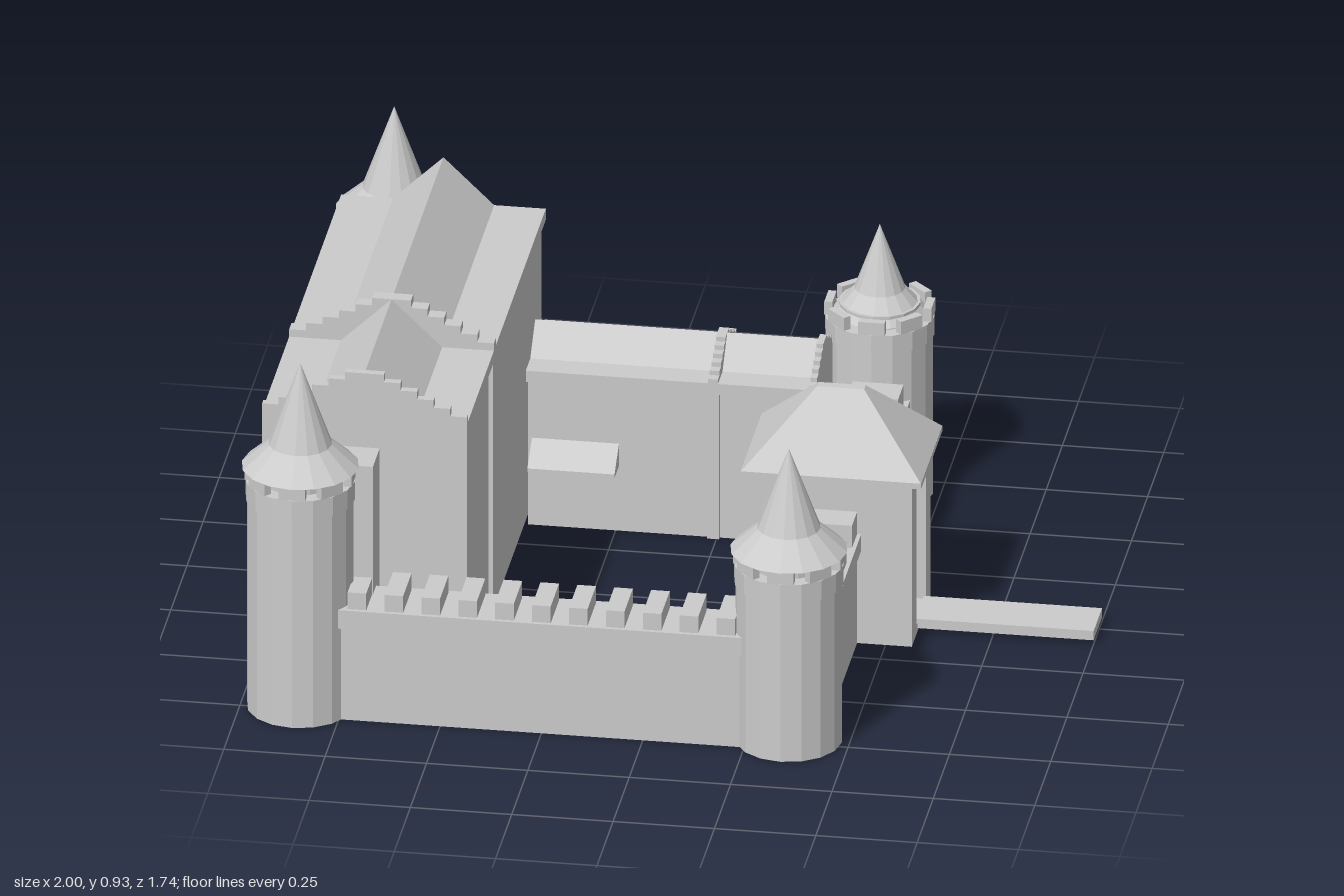
import * as THREE from 'three';
import { ConvexGeometry } from 'three/addons/geometries/ConvexGeometry.js';

const stone = new THREE.MeshStandardMaterial({ color: 0xcccccc, flatShading: true, side: THREE.DoubleSide });

function add(parent, name, geometry, x = 0, y = 0, z = 0) {
  const mesh = new THREE.Mesh(geometry, stone);
  mesh.name = name;
  mesh.position.set(x, y, z);
  parent.add(mesh);
  return mesh;
}

// Box given by its limits on each axis
function block(parent, name, [x0, x1], [y0, y1], [z0, z1]) {
  return add(parent, name, new THREE.BoxGeometry(x1 - x0, y1 - y0, z1 - z0),
    (x0 + x1) / 2, (y0 + y1) / 2, (z0 + z1) / 2);
}

// Outline extruded along z, starting at z0
function prism(parent, name, points, z0, z1) {
  const shape = new THREE.Shape(points.map(([x, y]) => new THREE.Vector2(x, y)));
  return add(parent, name, new THREE.ExtrudeGeometry(shape, { depth: z1 - z0, bevelEnabled: false }), 0, 0, z0);
}

// Round tower: shaft, corbel band, merlon ring and flared conical roof
function tower(name, x, z, height, peak, eave, roofBase) {
  const g = new THREE.Group();
  g.name = name;
  g.position.set(x, 0, z);
  const sides = 16, r = 0.131, ring = height - 0.035;
  add(g, 'shaft', new THREE.CylinderGeometry(r, r, ring, sides), 0, ring / 2, 0);
  add(g, 'corbelBand', new THREE.CylinderGeometry(0.135, 0.135, 0.05, sides), 0, ring - 0.025, 0);
  for (let i = 0; i < 8; i++) {
    const a = i * Math.PI / 4;
    const merlon = add(g, 'merlon', new THREE.BoxGeometry(0.065, 0.035, 0.02),
      Math.sin(a) * 0.122, height - 0.0175, Math.cos(a) * 0.122);
    merlon.rotation.y = a;
  }
  add(g, 'roofDrum', new THREE.CylinderGeometry(0.1, 0.1, 0.04, sides), 0, height - 0.02, 0);
  const flare = eave * 0.54;
  const profile = [[0, roofBase], [eave, roofBase], [flare, roofBase + 0.06], [0, peak]];
  add(g, 'roof', new THREE.LatheGeometry(profile.map(p => new THREE.Vector2(...p)), sides));
  return g;
}

// Long house along z: inset walls, parapet slab, ridge roof and stepped fire walls
function hall(name, { half, z0, z1, eave, ridge, ridgeHalf, gables }) {
  const g = new THREE.Group();
  g.name = name;
  const inset = half - 0.01;
  block(g, 'walls', [-inset, inset], [0, eave - 0.03], [z0 + 0.004, z1 - 0.004]);
  block(g, 'parapetSlab', [-half, half], [eave - 0.03, eave], [z0, z1]);
  prism(g, 'ridgeRoof', [[-ridgeHalf, eave], [ridgeHalf, eave], [0, ridge]], z0, z1);
  const steps = 6, rise = (ridge - eave) / steps;
  for (const [a, b, pilaster] of gables) {
    const right = [];
    for (let i = 0; i < steps; i++) {
      const w = half * (1 - i * 0.162);
      right.push([w, eave + rise * i], [w, eave + rise * (i + 1)]);
    }
    const left = right.map(([x, y]) => [-x, y]).reverse();
    prism(g, 'steppedGable', [...right, ...left], a, b);
    block(g, 'pilaster', [-half, half], [0, eave - 0.03],
      [Math.max(z0, (a + b - pilaster) / 2), Math.min(z1, (a + b + pilaster) / 2)]);
  }
  return g;
}

function gatehouse() {
  const g = new THREE.Group();
  g.name = 'gatehouse';
  block(g, 'body', [0.165, 0.535], [0, 0.44], [-0.12, 0.17]);
  // Outer face with a recessed portal
  block(g, 'portalSide', [0.535, 0.565], [0, 0.44], [-0.12, -0.05]);
  block(g, 'portalSide', [0.535, 0.565], [0, 0.44], [0.1, 0.17]);
  block(g, 'portalLintel', [0.535, 0.565], [0.41, 0.44], [-0.05, 0.1]);
  block(g, 'threshold', [0.535, 0.565], [0, 0.025], [-0.05, 0.1]);
  block(g, 'door', [0.535, 0.542], [0.025, 0.195], [-0.03, 0.08]);
  // Hipped roof with a short flat ridge
  block(g, 'eaves', [0.145, 0.59], [0.435, 0.45], [-0.145, 0.185]);
  const corners = [];
  for (const [x, y, z] of [[0.222, 0.45, 0.165], [0.058, 0.62, 0.012]])
    for (const sx of [-1, 1]) for (const sz of [-1, 1])
      corners.push(new THREE.Vector3(0.3675 + sx * x, y, 0.02 + sz * z));
  add(g, 'hippedRoof', new ConvexGeometry(corners));
  block(g, 'drawbridge', [0.56, 1], [0.01, 0.035], [-0.045, 0.085]);
  return g;
}

export function createModel() {
  const model = new THREE.Group();
  model.name = 'castle';

  // Corner towers
  model.add(
    tower('frontRightTower', -0.855, 0.725, 0.65, 0.925, 0.144, 0.65),
    tower('backRightTower', -0.855, -0.73, 0.65, 0.925, 0.144, 0.65),
    tower('frontLeftTower', 0.35, 0.725, 0.515, 0.785, 0.144, 0.515),
    tower('backLeftTower', 0.35, -0.685, 0.515, 0.72, 0.115, 0.49));

  // Great hall and lower wing
  const palace = hall('greatHall', {
    half: 0.2525, z0: -0.63, z1: 0.595, eave: 0.725, ridge: 0.845, ridgeHalf: 0.125,
    gables: [[0.575, 0.595, 0.05], [0.14, 0.175, 0.07]],
  });
  palace.position.x = -0.7175;
  const wing = hall('wing', {
    half: 0.145, z0: -0.47, z1: 0.245, eave: 0.42, ridge: 0.49, ridgeHalf: 0.075,
    gables: [[0.228, 0.245, 0.03], [-0.02, 0.004, 0.03]],
  });
  wing.rotation.y = Math.PI / 2;
  wing.position.z = -0.495;
  model.add(palace, wing);
  block(model, 'towerButtress', [-0.8, -0.68], [0, 0.645], [0.58, 0.7]);

  // Lean-to porch roof in the courtyard
  const porch = prism(model, 'porchRoof', [[0, 0.18], [0.07, 0.18], [0.07, 0.19], [0, 0.24]], 0, 0.215);
  porch.rotation.y = -Math.PI / 2;
  porch.position.set(-0.24, 0, -0.35);

  // Front curtain wall with merlons
  block(model, 'frontWall', [-0.8, 0.3], [0, 0.25], [0.655, 0.79]);
  block(model, 'frontWallWalk', [-0.8, 0.3], [0.25, 0.3], [0.65, 0.8]);
  for (let i = 0; i < 11; i++) {
    const x = -0.705 + i * 0.091;
    block(model, 'merlon', [x - 0.023, x + 0.023], [0.3, 0.345], [0.66, 0.79]);
  }

  // Gate-side curtain wall with merlons
  block(model, 'gateWall', [0.3, 0.43], [0, 0.25], [-0.6, 0.62]);
  block(model, 'gateWallWalk', [0.295, 0.44], [0.25, 0.295], [-0.6, 0.62]);
  for (const z of [[0.51, 0.6], [0.335, 0.42], [0.16, 0.25], [-0.2, -0.11], [-0.375, -0.29], [-0.55, -0.465]])
    block(model, 'merlon', [0.305, 0.43], [0.295, 0.355], z);

  model.add(gatehouse());
  return model;
}
